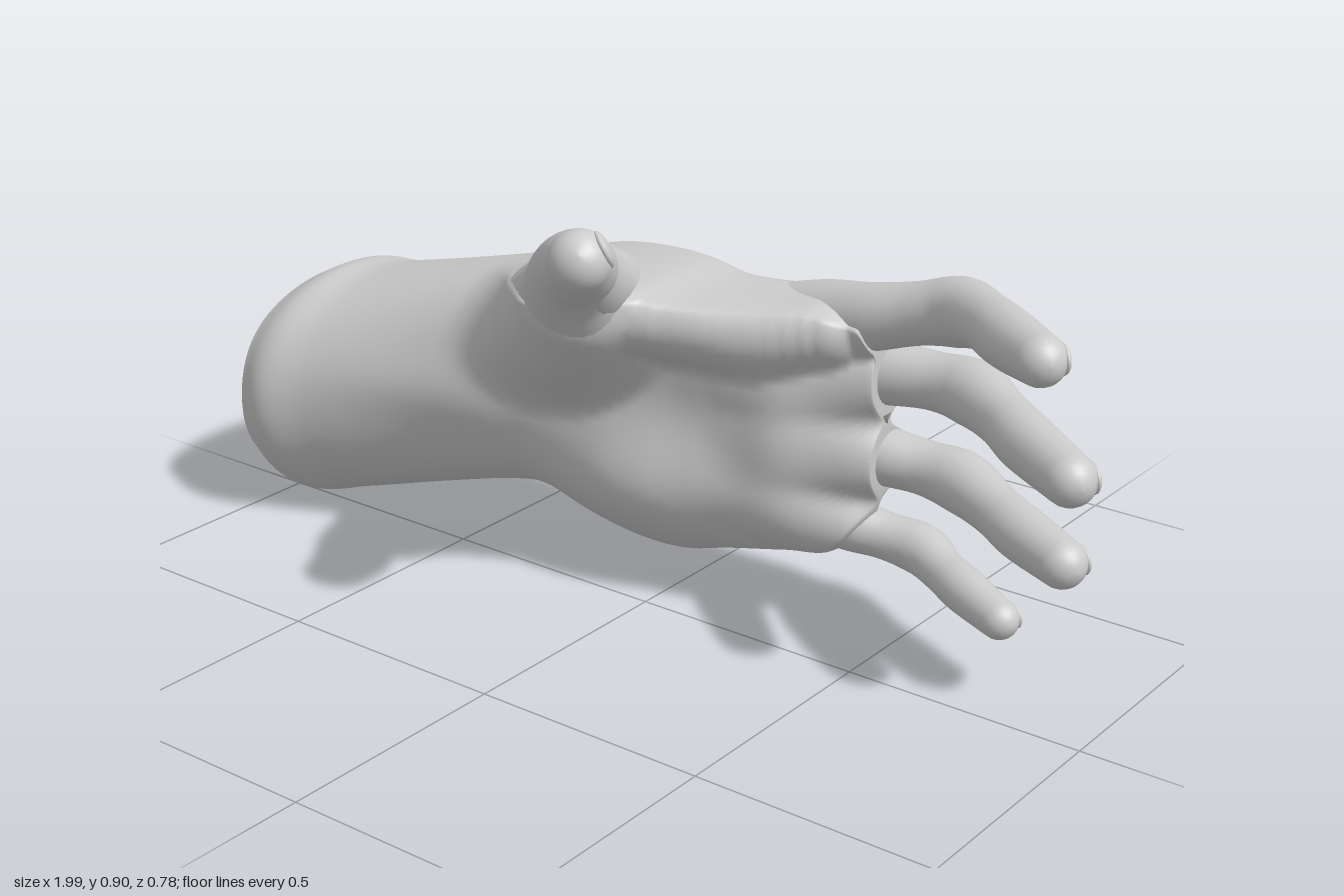
import * as THREE from 'three';

const skin = new THREE.MeshStandardMaterial({ color: 0xcccccc, side: THREE.DoubleSide });
const V = (x, y, z) => new THREE.Vector3(x, y, z);
const smooth = (pts) => new THREE.CatmullRomCurve3(pts, false, 'catmullrom', 0.5);
const bell = (d, w) => Math.exp(-(d * d) / (w * w));

// Smooth skin over closed rings that all have the same number of points
function skinRings(rings, name) {
  const n = rings[0].length, index = [];
  for (let i = 0; i < rings.length - 1; i++) {
    for (let j = 0; j < n; j++) {
      const k = (j + 1) % n, a = i * n + j, b = a + n, c = (i + 1) * n + k, d = i * n + k;
      index.push(a, d, b, d, c, b);
    }
  }
  const g = new THREE.BufferGeometry().setFromPoints(rings.flat());
  g.setIndex(index);
  g.computeVertexNormals();
  const mesh = new THREE.Mesh(g, skin);
  mesh.name = name;
  return mesh;
}

// Centre line and radius along points [x, y, z, radius]
const limbCurves = (pts) => [smooth(pts.map((p) => V(p[0], p[1], p[2]))), smooth(pts.map((p) => V(p[3], 0, 0)))];

// Round limb ending in a domed tip
function limb(name, pts, sides = 24, steps = 48) {
  const [path, radius] = limbCurves(pts);
  const rings = [];
  const ring = (c, t, r) => {
    const n = V(0, 1, 0).addScaledVector(t, -t.y).normalize();
    const b = t.clone().cross(n);
    rings.push(Array.from({ length: sides }, (_, j) => {
      const a = (j / sides) * Math.PI * 2;
      return c.clone().addScaledVector(n, r * Math.cos(a)).addScaledVector(b, r * Math.sin(a));
    }));
  };
  for (let i = 0; i <= steps; i++) {
    const u = i / steps;
    ring(path.getPoint(u), path.getTangent(u), radius.getPoint(u).x);
  }
  const end = path.getPoint(1), dir = path.getTangent(1), r = pts[pts.length - 1][3];
  for (let i = 1; i <= 7; i++) {
    const a = (i / 7) * Math.PI / 2;
    ring(end.clone().addScaledVector(dir, r * Math.sin(a)), dir, Math.max(r * Math.cos(a), 0.0005));
  }
  return skinRings(rings, name);
}

// Flattened nail lying on the back of a fingertip
function nail(name, pos, along, out, r) {
  const mesh = new THREE.Mesh(new THREE.SphereGeometry(1, 20, 12), skin);
  const x = along.clone().normalize();
  const y = out.clone().addScaledVector(x, -out.dot(x)).normalize();
  mesh.quaternion.setFromRotationMatrix(new THREE.Matrix4().makeBasis(x, y, x.clone().cross(y)));
  mesh.position.copy(pos).addScaledVector(y, r * 0.8);
  mesh.scale.set(r * 0.75, r * 0.22, r * 0.62);
  mesh.name = name;
  return mesh;
}

// Finger paths from palm to fingertip: x, y, z, radius
const FINGERS = {
  indexFinger: [[0.16, 0.6, -0.18, 0.07], [0.3, 0.632, -0.185, 0.075], [0.42, 0.664, -0.172, 0.066], [0.52, 0.692, -0.174, 0.061],
    [0.61, 0.715, -0.17, 0.067], [0.7, 0.735, -0.105, 0.056], [0.79, 0.742, -0.032, 0.057], [0.9, 0.753, 0.055, 0.048]],
  middleFinger: [[0.16, 0.49, -0.205, 0.065], [0.3, 0.522, -0.215, 0.075], [0.42, 0.536, -0.222, 0.065], [0.53, 0.54, -0.23, 0.058],
    [0.62, 0.54, -0.218, 0.065], [0.72, 0.536, -0.152, 0.055], [0.81, 0.532, -0.083, 0.057], [0.948, 0.527, 0.01, 0.05]],
  ringFinger: [[0.16, 0.39, -0.205, 0.065], [0.3, 0.375, -0.212, 0.07], [0.42, 0.361, -0.222, 0.06], [0.51, 0.353, -0.235, 0.055],
    [0.6, 0.347, -0.228, 0.062], [0.7, 0.337, -0.177, 0.052], [0.79, 0.328, -0.128, 0.054], [0.9, 0.32, -0.075, 0.048]],
  littleFinger: [[0.1, 0.27, -0.18, 0.06], [0.25, 0.232, -0.19, 0.068], [0.36, 0.208, -0.198, 0.056], [0.44, 0.195, -0.214, 0.048],
    [0.52, 0.186, -0.218, 0.052], [0.59, 0.173, -0.185, 0.044], [0.66, 0.165, -0.15, 0.046], [0.762, 0.152, -0.105, 0.039]],
};

// Thumb swelling into the muscle at its base, its hand bone, and the fold towards the index finger
const THUMB = [[-0.42, 0.47, -0.13, 0.1], [-0.31, 0.51, -0.07, 0.13], [-0.2, 0.565, -0.005, 0.145],
  [-0.105, 0.65, 0.085, 0.122], [-0.04, 0.738, 0.172, 0.09], [0.015, 0.785, 0.228, 0.074],
  [0.065, 0.808, 0.277, 0.069], [0.106, 0.843, 0.33, 0.06]];
const THUMB_BONE = [[-0.45, 0.49, -0.22, 0.08], [-0.27, 0.575, -0.14, 0.105], [-0.13, 0.635, -0.02, 0.1],
  [-0.045, 0.705, 0.11, 0.08], [0, 0.765, 0.2, 0.07]];
const WEB = [[-0.18, 0.57, 0, 0.1], [-0.05, 0.64, 0.05, 0.085], [0.08, 0.635, 0, 0.075],
  [0.2, 0.625, -0.06, 0.075], [0.34, 0.64, -0.125, 0.065]];

// Balls buried in the palm, over which its front and back are draped
function balls(pts, end) {
  const [path, radius] = limbCurves(pts);
  return Array.from({ length: 20 }, (_, i) => ({ c: path.getPoint(end * i / 19), r: radius.getPoint(end * i / 19).x }));
}
const ROOTS = Object.values(FINGERS).flatMap((f) => balls(f, 0.3));
const FRONT = [...ROOTS, ...balls(THUMB, 0.46), ...balls(WEB, 1)];

// Raises z (front, side 1) or lowers it (back, side -1) over the buried balls
function drape(x, y, z, side) {
  const blend = side > 0 ? 0.12 : 0.05;
  let top = -1;
  for (const { c, r } of side > 0 ? FRONT : ROOTS) {
    const d = ((x - c.x) ** 2 + (y - c.y) ** 2) / (r * r);
    top = Math.max(top, side * c.z + r * (1.03 - d / 2 - d * d / 4));
  }
  const h = Math.max(blend - Math.abs(side * z - top), 0) / blend;
  return side * (Math.max(side * z, top) + h * h * blend / 4);
}

// Forearm and palm sections: x, low y, high y, back z, front z
const SECTIONS = [
  [-0.97, 0.035, 0.5, -0.37, 0.175], [-0.9, 0, 0.53, -0.39, 0.195], [-0.8, 0.025, 0.535, -0.385, 0.155],
  [-0.6, 0.08, 0.58, -0.36, 0.09], [-0.42, 0.125, 0.625, -0.355, 0.05], [-0.32, 0.13, 0.655, -0.35, 0.025],
  [-0.2, 0.09, 0.69, -0.34, 0.005], [-0.08, 0.073, 0.705, -0.325, 0], [0.02, 0.078, 0.705, -0.31, -0.005],
  [0.12, 0.105, 0.69, -0.295, -0.02], [0.25, 0.13, 0.688, -0.277, -0.065], [0.34, 0.148, 0.69, -0.258, -0.115],
  [0.4, 0.21, 0.67, -0.24, -0.15], [0.435, 0.29, 0.64, -0.22, -0.18], [0.44, 0.44, 0.46, -0.205, -0.195],
];
const KNUCKLES = [0.63, 0.52, 0.38, 0.24];

// Pads and hollow on the palm, tendons and knuckles on the back
function relief(x, y, front) {
  if (front) {
    return 0.045 * bell(x + 0.08, 0.2) * bell(y - 0.2, 0.13)
      - 0.035 * bell(x - 0.08, 0.16) * bell(y - 0.42, 0.12)
      + 0.02 * bell(x - 0.27, 0.09) * bell(y - 0.38, 0.25)
      + 0.01 * bell(x + 0.5, 0.25) * bell(y - 0.36, 0.07);
  }
  let z = 0.01 * bell(x - 0.1, 0.25);
  for (const k of KNUCKLES) {
    const line = 0.4 + (k - 0.4) * Math.min(1, Math.max(0, (x + 0.4) / 0.65));
    z -= 0.014 * bell(y - line, 0.03) * bell(x - 0.1, 0.22);
  }
  return z;
}

function forearmAndPalm(sides = 96, steps = 130) {
  const ys = smooth(SECTIONS.map((s) => V(s[0], s[1], s[2])));
  const zs = smooth(SECTIONS.map((s) => V(s[3], s[4], 0)));
  const rings = [];
  for (let i = 0; i <= steps; i++) {
    const p = ys.getPoint(i / steps), q = zs.getPoint(i / steps);
    const cut = THREE.MathUtils.clamp((-0.75 - p.x) / 0.22, 0, 1);
    rings.push(Array.from({ length: sides }, (_, j) => {
      const a = (j / sides) * Math.PI * 2, s = Math.sin(a);
      const y = (p.y + p.z) / 2 + ((p.z - p.y) / 2) * Math.cos(a);
      let z = (q.x + q.y) / 2 + ((q.y - q.x) / 2) * Math.sign(s) * Math.abs(s) ** 0.9;
      // The sawn wrist end slants and is slightly ragged
      const slant = -0.06 * (z + 0.1) + 0.05 * (y - 0.25) + 0.003 * Math.sin(a * 5);
      z += relief(p.x, y, s > 0) * Math.abs(s);
      if (p.x > -0.6) z += (drape(p.x, y, z, Math.sign(s) || 1) - z) * THREE.MathUtils.smoothstep(Math.abs(s), 0, 0.3);
      return V(Math.max(-1, p.x + cut * slant), y, z);
    }));
  }
  const group = new THREE.Group();
  group.name = 'forearmAndPalm';
  group.add(skinRings(rings, 'forearm'));
  // Flat cap over the cut end
  const centre = rings[0].reduce((sum, v) => sum.add(v), V(0, 0, 0)).divideScalar(sides);
  group.add(skinRings([rings[0].map(() => centre.clone()), rings[0].map((v) => v.clone())], 'cutEnd'));
  return group;
}

export function createModel() {
  const hand = new THREE.Group();
  hand.name = 'hand';
  hand.add(forearmAndPalm());

  for (const [name, pts] of Object.entries(FINGERS)) {
    hand.add(limb(name, pts));
    const [a, b] = pts.slice(-2).map((p) => V(p[0], p[1], p[2]));
    hand.add(nail(name + 'Nail', b, b.clone().sub(a), V(0.65, 0, -0.75), pts[pts.length - 1][3]));
  }

  hand.add(limb('thumb', THUMB, 32, 56), limb('thumbBone', THUMB_BONE, 32));
  hand.add(nail('thumbNail', V(0.106, 0.843, 0.33), V(0.5, 0.4, 0.7), V(0.6, 0.4, -0.6), 0.06));
  return hand;
}
